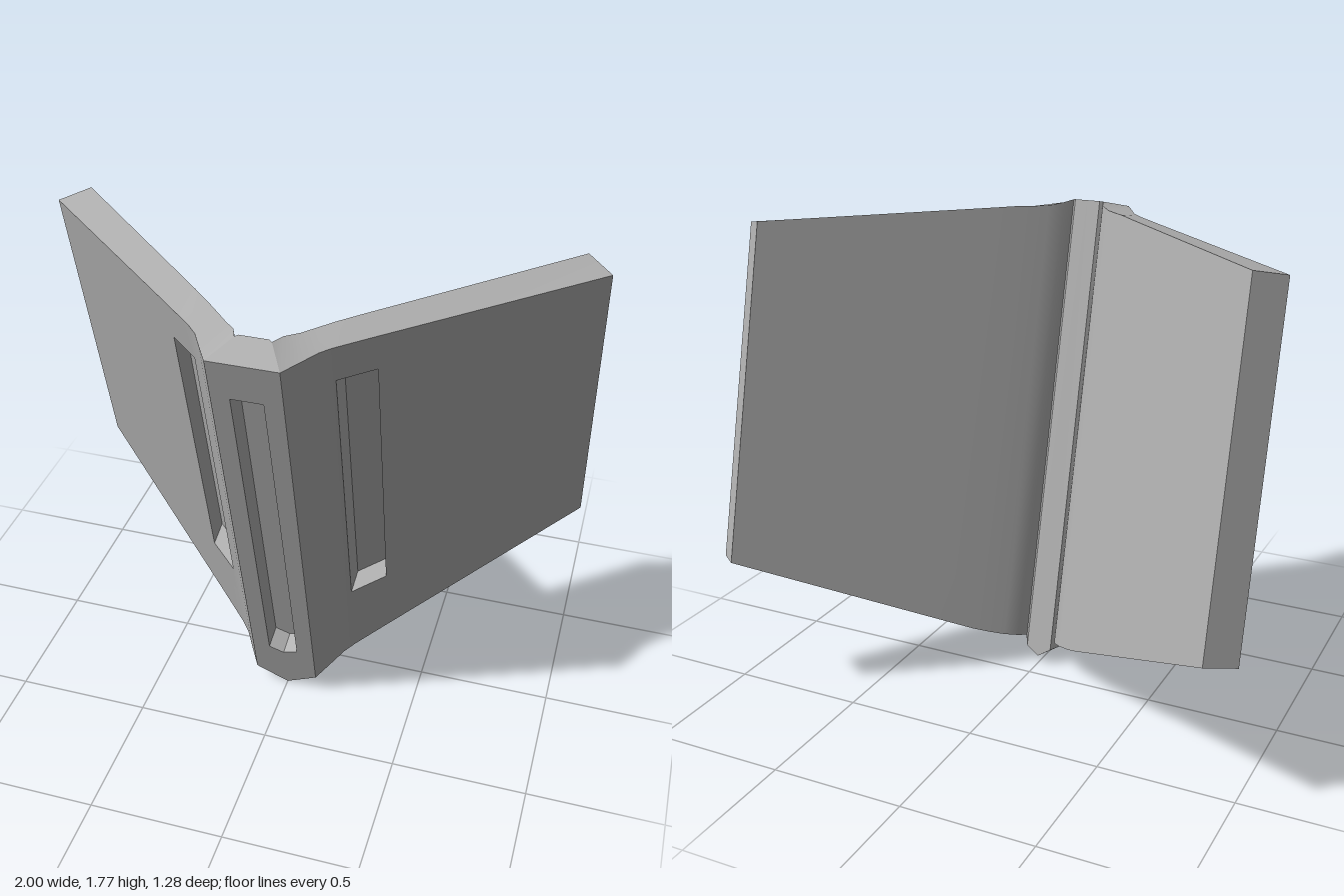
import * as THREE from 'three';
import { toCreasedNormals } from 'three/addons/utils/BufferGeometryUtils.js';

const LEAN = 0.25; // forward lean: z gained per unit of height
const TOP = 1.74;

// Plan columns from the middle outwards: front x, front z, back x, back z
const COLUMNS = [
  [0, 0.2, 0, 0.07],
  [0.055, 0.2, 0.05, 0.07],
  [0.12, 0.2, 0.06, 0.079],
  [0.16, 0.13, 0.08, 0.03],
  [0.2, 0.058, 0.12, -0.013],
  [0.235, 0.018, 0.165, -0.06],
  [0.27, -0.015, 0.21, -0.105],
  [0.345, -0.085, 0.28, -0.175],
  [1, -0.687, 0.907, -0.78],
];

// Recessed slots, each spanning a range of columns
const SLOTS = [
  { from: 0, to: 1, depth: 0.09, top: 1.59, bottom: (x) => 0.205 + 0.42 * x },
  { from: 5, to: 7, depth: 0.1, top: 1.6, bottom: (x) => 0.48 + 0.23 * (x - 0.235) },
];

const lowerEdge = (x) => (x < 0.12 ? 0.583 * x : 0.07 + 0.528 * (x - 0.12));

// Point on the leaning plate; "inset" is how far it lies behind the front
function point(x, y, z, inset = 0) {
  const h = y + LEAN * inset;
  return [x, h, z + LEAN * h];
}

// Builds columns first..last of the plate on the given sides (+1 or -1)
function plateGeometry(first, last, sides) {
  const positions = [];
  for (const side of sides) {
    const quad = (a, b, c, d) => {
      const order = side > 0 ? [a, b, c, a, c, d] : [a, c, b, a, d, c];
      for (const p of order) positions.push(p[0] * side, p[1], p[2]);
    };
    const front = (i, y) => point(COLUMNS[i][0], y, COLUMNS[i][1]);
    const back = (i, y) => {
      const [, fz, bx, bz] = COLUMNS[i];
      return point(bx, y, bz, fz - bz);
    };
    const low = (i) => lowerEdge(COLUMNS[i][0]);

    for (let i = first; i < last; i++) {
      const j = i + 1;
      const slot = SLOTS.find((s) => i >= s.from && i < s.to);
      const face = (y0, y1, t0, t1) => quad(front(i, y0), front(j, y1), front(j, t1), front(i, t0));
      if (slot) {
        const floor = (k, y) => point(COLUMNS[k][0], y, COLUMNS[k][1] - slot.depth, slot.depth);
        const bi = slot.bottom(COLUMNS[i][0]);
        const bj = slot.bottom(COLUMNS[j][0]);
        const t = slot.top;
        face(low(i), low(j), bi, bj);
        face(t, t, TOP, TOP);
        quad(floor(i, bi), floor(j, bj), floor(j, t), floor(i, t));
        quad(front(i, bi), front(j, bj), floor(j, bj), floor(i, bi));
        quad(floor(i, t), floor(j, t), front(j, t), front(i, t));
        if (i === slot.from && i > 0) quad(front(i, bi), floor(i, bi), floor(i, t), front(i, t));
        if (j === slot.to) quad(floor(j, bj), front(j, bj), front(j, t), floor(j, t));
      } else {
        face(low(i), low(j), TOP, TOP);
      }
      // back, top edge and lower edge
      quad(back(j, low(j)), back(i, low(i)), back(i, TOP), back(j, TOP));
      quad(front(i, TOP), front(j, TOP), back(j, TOP), back(i, TOP));
      quad(back(i, low(i)), back(j, low(j)), front(j, low(j)), front(i, low(i)));
    }
    // outer end
    if (last === COLUMNS.length - 1) {
      const e = last;
      quad(front(e, low(e)), back(e, low(e)), back(e, TOP), front(e, TOP));
    }
  }
  const geometry = new THREE.BufferGeometry();
  geometry.setAttribute('position', new THREE.Float32BufferAttribute(positions, 3));
  return toCreasedNormals(geometry, 0.5);
}

export function createModel() {
  const group = new THREE.Group();
  const grey = new THREE.MeshStandardMaterial({ color: 0xb0b0b0 });
  grey.name = 'plain grey';

  const add = (name, geometry) => {
    const mesh = new THREE.Mesh(geometry, grey);
    mesh.name = name;
    group.add(mesh);
  };
  const end = COLUMNS.length - 1;
  add('centreSpine', plateGeometry(0, 2, [1, -1]));
  add('leftWing', plateGeometry(2, end, [1]));
  add('rightWing', plateGeometry(2, end, [-1]));
  return group;
}
